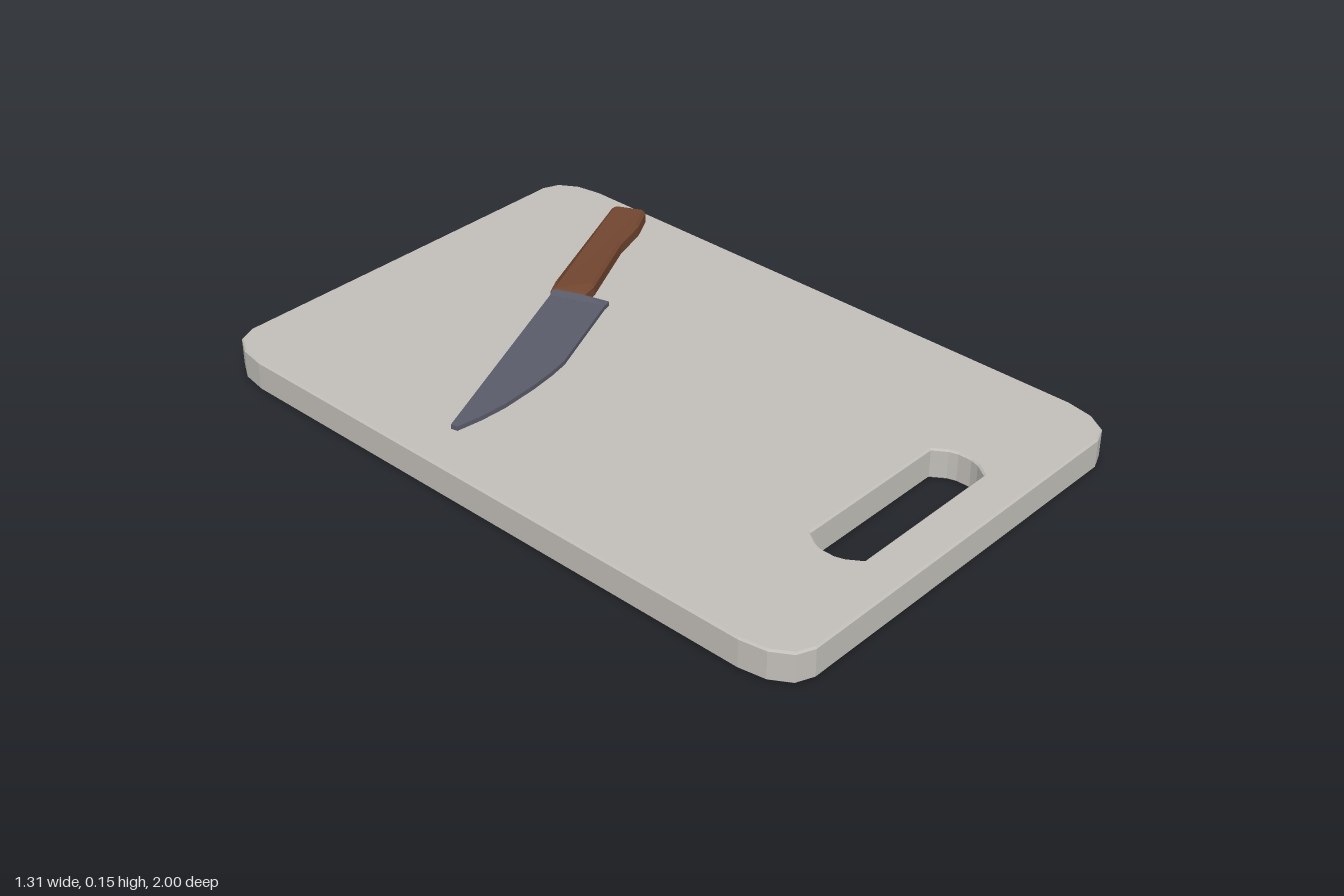
import * as THREE from 'three';

const paint = (name, color) => {
  const m = new THREE.MeshStandardMaterial({ color });
  m.name = name;
  return m;
};

// Horizontal slab from an (x, z) outline, between heights y0 and y1, with chamfered rims
function slab(outline, y0, y1, bevel = 0, hole = null) {
  const toVectors = (pts) => pts.map(([x, z]) => new THREE.Vector2(x, z));
  const shape = new THREE.Shape(toVectors(outline));
  if (hole) shape.holes.push(new THREE.Path(toVectors(hole)));
  const g = new THREE.ExtrudeGeometry(shape, {
    depth: y1 - y0 - 2 * bevel,
    bevelEnabled: bevel > 0,
    bevelThickness: bevel, bevelSize: bevel, bevelOffset: -bevel, bevelSegments: 1,
  });
  g.rotateX(Math.PI / 2);
  return g.translate(0, y1 - bevel, 0);
}

// Mirror one corner's points into a full symmetric outline around z = cz
function fourCorners(corner, cz = 0) {
  const back = [...corner].reverse();
  return [
    ...corner.map(([x, z]) => [x, cz + z]),
    ...back.map(([x, z]) => [-x, cz + z]),
    ...corner.map(([x, z]) => [-x, cz - z]),
    ...back.map(([x, z]) => [x, cz - z]),
  ];
}

// Scale the thickness of a slab about the knife's middle plane by a rule of x and z
const MID = 0.1245;
function flare(g, rule) {
  const p = g.attributes.position;
  for (let i = 0; i < p.count; i++) {
    p.setY(i, MID + (p.getY(i) - MID) * rule(p.getX(i), p.getZ(i)));
  }
  g.computeVertexNormals();
  return g;
}

// Distance along the knife, from tip towards the handle end
const along = (x, z) => 0.917 * x - 0.4 * z;

export function createModel() {
  const board = paint('board grey', 0xc2bfb9);
  const steel = paint('blade steel', 0x5a5b69);
  const wood = paint('handle wood', 0x724630);

  const group = new THREE.Group();
  const add = (parent, name, geometry, material) => {
    const mesh = new THREE.Mesh(geometry, material);
    mesh.name = name;
    parent.add(mesh);
  };

  // Board with faceted corners and a grip slot
  const rim = fourCorners([[0.655, 0.85], [0.642, 0.925], [0.608, 0.98], [0.56, 1]]);
  const slot = fourCorners([[0.27, 0.02], [0.262, 0.045], [0.237, 0.082]], 0.797);
  add(group, 'cuttingBoard', slab(rim, 0, 0.09, 0.005, slot), board);

  const knife = new THREE.Group();
  knife.name = 'knife';
  group.add(knife);

  // Blade with straight spine and curved belly
  add(knife, 'blade', slab([
    [-0.55, -0.205], [0.092, -0.485], [0.156, -0.333], [0.136, -0.327],
    [-0.14, -0.208], [-0.2, -0.194], [-0.28, -0.182], [-0.39, -0.173], [-0.47, -0.176], [-0.545, -0.186],
  ], 0.118, 0.131), steel);

  // Heel that thickens where the blade meets the handle
  const heel = slab([
    [0.072, -0.476], [0.095, -0.487], [0.128, -0.407], [0.159, -0.333], [0.136, -0.326], [0.105, -0.397],
  ], 0.118, 0.131);
  add(knife, 'heel', flare(heel, (x, z) => (along(x, z) > 0.27 && z < -0.4 ? 2.1 : 1.02)), steel);

  // Chamfered handle, thinner at its front end
  const handle = slab([
    [0.085, -0.487], [0.127, -0.508], [0.54, -0.688], [0.556, -0.684], [0.593, -0.608],
    [0.585, -0.595], [0.513, -0.555], [0.4, -0.518], [0.18, -0.41], [0.135, -0.402],
  ], 0.101, 0.148, 0.009);
  add(knife, 'handle', flare(handle, (x, z) => (along(x, z) < 0.305 ? 0.65 : 1)), wood);

  return group;
}
